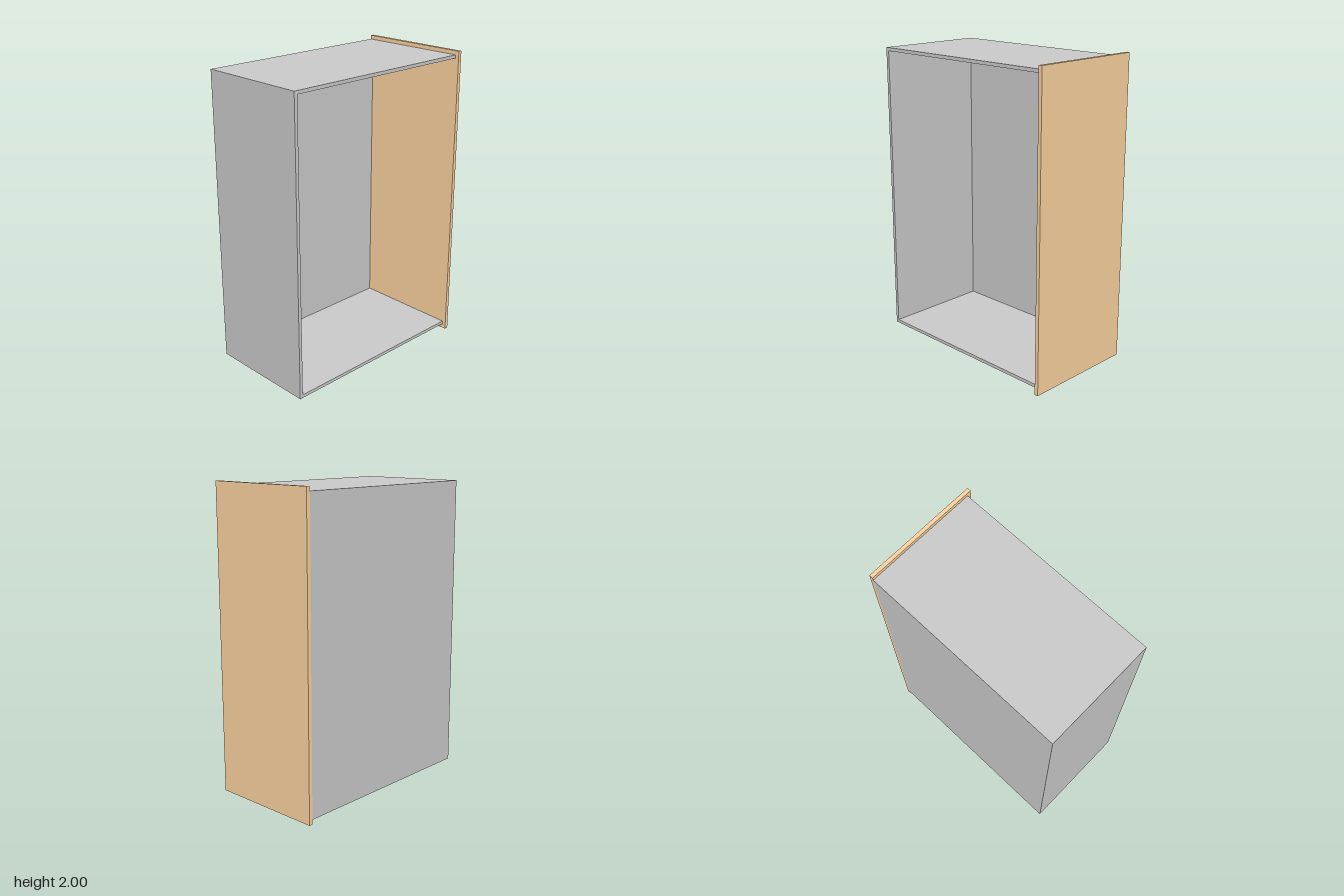
import * as THREE from 'three';

// Axis-aligned panel given by its extents
function panel(name, [x0, x1], [y0, y1], [z0, z1], material) {
  const mesh = new THREE.Mesh(new THREE.BoxGeometry(x1 - x0, y1 - y0, z1 - z0), material);
  mesh.position.set((x0 + x1) / 2, (y0 + y1) / 2, (z0 + z1) / 2);
  mesh.name = name;
  return mesh;
}

export function createModel() {
  const group = new THREE.Group();
  group.name = 'cabinet';
  const grey = new THREE.MeshStandardMaterial({ color: 0xcccccc });
  const wood = new THREE.MeshStandardMaterial({ color: 0xfdd4a1 });

  const left = -0.695, right = 0.67, bottom = 0.03, top = 1.974;
  const back = -0.388, front = 0.362, t = 0.022;

  // C-shaped carcass: top, bottom and one side in a single piece
  const outline = new THREE.Shape([
    [left, bottom], [right, bottom], [right, bottom + t], [left + t, bottom + t],
    [left + t, top - t], [right, top - t], [right, top], [left, top],
  ].map(([x, y]) => new THREE.Vector2(x, y)));
  const carcass = new THREE.Mesh(
    new THREE.ExtrudeGeometry(outline, { depth: front - back - t, bevelEnabled: false }), grey);
  carcass.position.z = back + t;
  carcass.name = 'carcass';
  group.add(carcass);

  // Full-size back and the taller, deeper wooden end panel
  group.add(
    panel('backPanel', [left, right], [bottom, top], [back, back + t], grey),
    panel('endPanel', [right, 0.695], [0, 2], [back, 0.388], wood),
  );
  return group;
}
